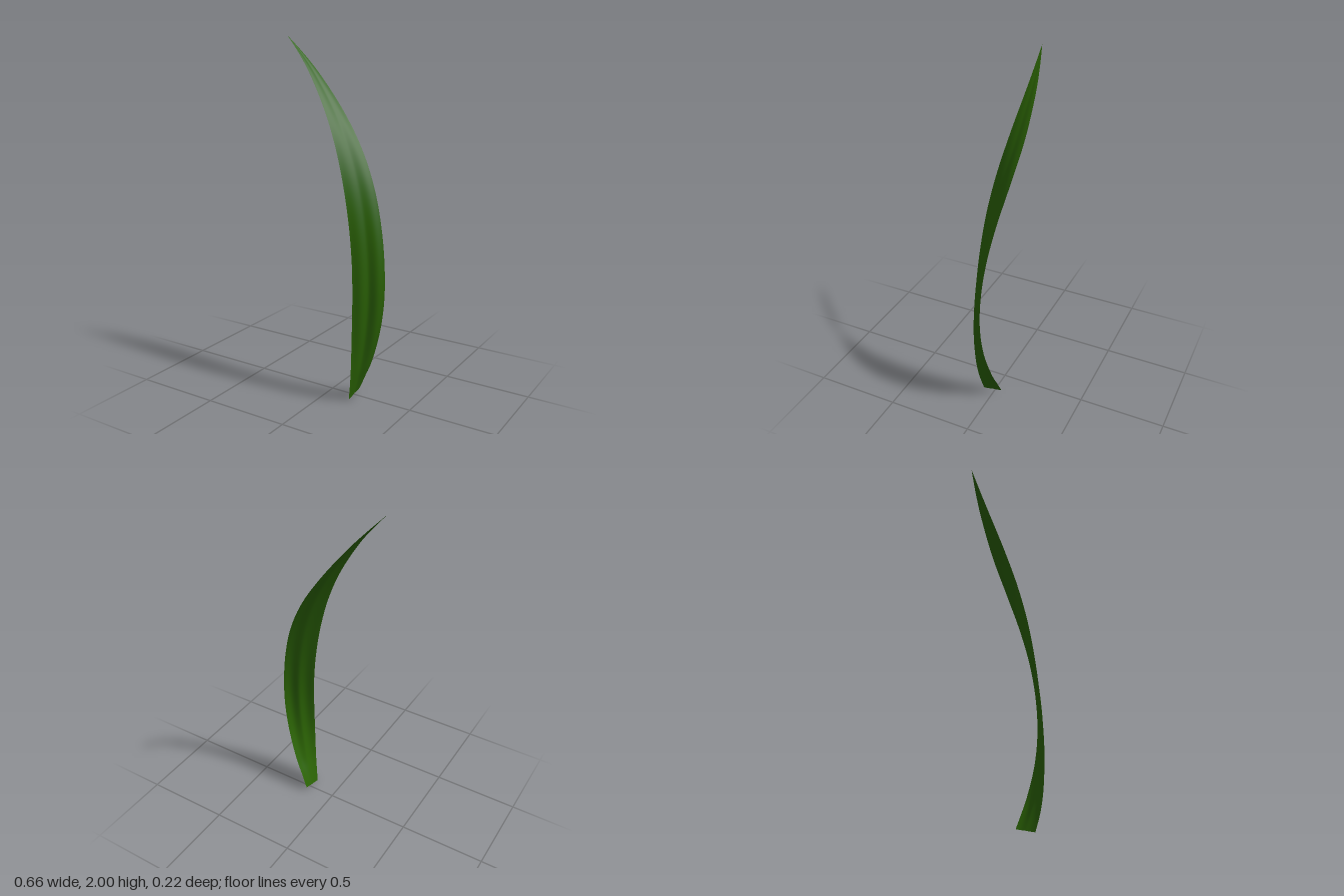
import * as THREE from 'three';

const curve = (pts) => new THREE.CatmullRomCurve3(pts.map((p) => new THREE.Vector3(...p)));

// The two long edges of the blade, base to tip
const frontEdge = curve([
  [0.151, 0, 0.069], [0.17, 0.1, 0.089], [0.182, 0.2, 0.101], [0.191, 0.4, 0.109], [0.19, 0.6, 0.103],
  [0.178, 0.8, 0.09], [0.151, 1.0, 0.076], [0.107, 1.2, 0.058], [0.042, 1.4, 0.031],
  [-0.05, 1.6, -0.003], [-0.172, 1.8, -0.036], [-0.246, 1.9, -0.048], [-0.33, 2, -0.055],
]);
const backEdge = curve([
  [0.157, 0.03, -0.05], [0.194, 0.11, -0.039], [0.236, 0.2, -0.029], [0.299, 0.4, -0.01], [0.328, 0.6, -0.004],
  [0.323, 0.8, -0.01], [0.291, 1.0, -0.028], [0.23, 1.2, -0.057], [0.133, 1.4, -0.089],
  [0.001, 1.6, -0.109], [-0.152, 1.8, -0.1], [-0.238, 1.9, -0.082], [-0.33, 2, -0.055],
]);

// Blade surface: spans the edges, with two shallow lobes beside a central groove
function bladeGeometry() {
  const geo = new THREE.PlaneGeometry(1, 1, 24, 64);
  const { position, uv } = geo.attributes;
  const up = new THREE.Vector3();
  for (let i = 0; i < position.count; i++) {
    const t = uv.getX(i), v = uv.getY(i);
    const a = frontEdge.getPoint(v), b = backEdge.getPoint(v);
    const chord = b.clone().sub(a);
    up.copy(frontEdge.getTangent(v)).add(backEdge.getTangent(v)).normalize();
    const bulge = chord.clone().cross(up); // length follows the blade width
    // Lobes are deepest in the lower third, fade towards base and tip, and grow towards the back edge
    const depth = (0.012 + 0.045 * Math.exp(-(((v - 0.32) / 0.18) ** 2))) * (0.6 + 0.8 * t);
    const lobe = depth * Math.abs(Math.sin(2 * Math.PI * t)) ** 1.5;
    const p = a.addScaledVector(chord, t).addScaledVector(bulge, lobe);
    position.setXYZ(i, p.x, p.y, p.z);
  }
  geo.computeVertexNormals();
  return geo;
}

export function createModel() {
  const group = new THREE.Group();
  group.name = 'grassBlade';
  const green = new THREE.MeshStandardMaterial({ color: 0x2b6304, side: THREE.DoubleSide });
  const blade = new THREE.Mesh(bladeGeometry(), green);
  blade.name = 'blade';
  group.add(blade);
  return group;
}
